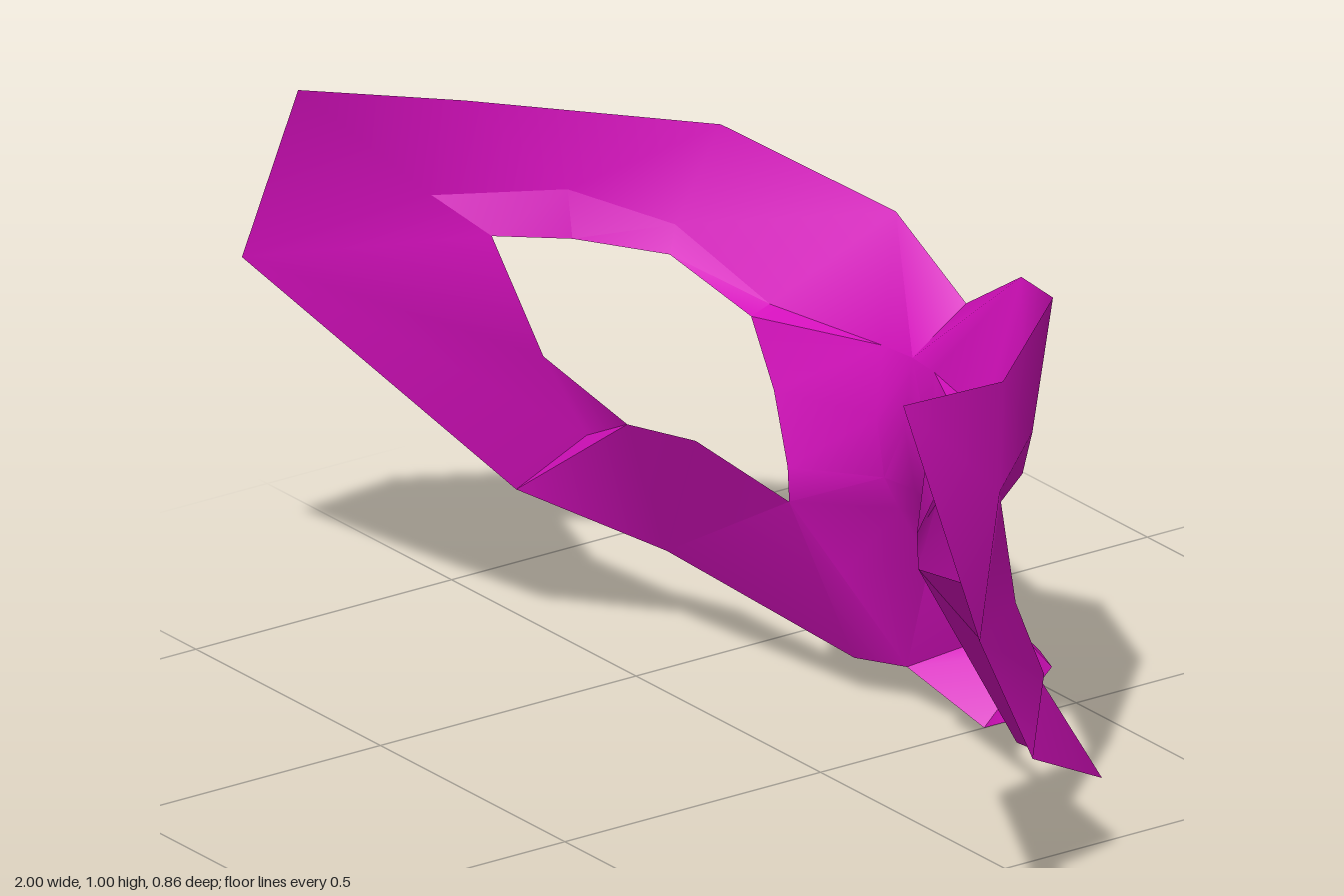
import * as THREE from 'three';
import { toCreasedNormals } from 'three/addons/utils/BufferGeometryUtils.js';

const magenta = new THREE.MeshStandardMaterial({ color: 0xd40fbc, side: THREE.DoubleSide });
magenta.name = 'magenta';

// Stitches pairs of equally long point rows (upper, lower) and mirrors them across x = 0.
function mirroredShell(name, strips, crease) {
  const out = [];
  const tri = (a, b, c) => {
    if (a === b || b === c || a === c) return;
    out.push(...a, ...b, ...c);
    for (const [x, y, z] of [a, c, b]) out.push(-x, y, z);
  };
  for (const [upper, lower] of strips) {
    for (let i = 0; i + 1 < upper.length; i++) {
      tri(upper[i], upper[i + 1], lower[i + 1]);
      tri(upper[i], lower[i + 1], lower[i]);
    }
  }
  const geometry = new THREE.BufferGeometry();
  geometry.setAttribute('position', new THREE.Float32BufferAttribute(out, 3));
  const mesh = new THREE.Mesh(toCreasedNormals(geometry, crease), magenta);
  mesh.name = name;
  return mesh;
}

export function createModel() {
  // Upper outline, from the centre to the temple
  const top = [[0, 0.735, -0.285], [0.17, 0.84, -0.27], [0.45, 0.93, -0.13],
    [0.73, 0.95, 0.17], [0.82, 1, 0.43], [1, 0.65, 0.41]];
  // Crease under the brow, from the bridge to the outer eye corner
  const crease = [[0, 0.667, -0.18], [0.07, 0.667, -0.172], [0.29, 0.68, -0.11],
    [0.47, 0.77, -0.055], [0.63, 0.8, 0.04], [0.77, 0.783, 0.205]];
  // Upper rim of the eye hole, from the bridge outwards
  const lid = [[0.285, 0.67, -0.07], [0.45, 0.731, -0.03], [0.61, 0.723, 0.045], [0.69, 0.725, 0.145]];
  // Lower rim of the eye hole, from the temple inwards
  const rim = [[0.64, 0.52, 0.08], [0.51, 0.43, 0.01], [0.38, 0.435, -0.03], [0.175, 0.39, -0.065]];
  // Lower outline, from the temple to the nostril
  const jaw = [[0.7, 0.275, 0.09], [0.59, 0.155, -0.125], [0.22, 0.07, -0.225], [0.14, 0.07, -0.27]];
  const cheekFold = [0.62, 0.375, 0.01];
  // Nose cross-sections: ridge, shoulder, side
  const nose = [
    [crease[0], crease[1], lid[0]],
    [[0, 0.55, -0.165], [0.07, 0.55, -0.16], [0.23, 0.56, -0.075]],
    [[0, 0.44, -0.185], [0.07, 0.44, -0.175], [0.175, 0.45, -0.062]],
    [[0, 0.38, -0.217], [0.07, 0.38, -0.205], rim[3]],
    [[0, 0.275, -0.275], [0.065, 0.275, -0.26], [0.159, 0.246, -0.157]],
    [[0, 0.105, -0.43], [0.08, 0.113, -0.395], jaw[3]],
  ];

  const brow = [
    [[top[0], top[1], top[1], top[1], top[2], top[3], top[4]],
      [crease[0], crease[0], crease[1], crease[2], crease[3], crease[4], crease[5]]],
  ];
  const temple = [
    [[top[4], top[5], top[5], top[5], jaw[0]], [crease[5], crease[5], lid[3], rim[0], cheekFold]],
    [[cheekFold, cheekFold], [rim[0], rim[1]]],
  ];
  const cheek = [
    [[jaw[0], jaw[1], jaw[1], jaw[2], jaw[3]], [cheekFold, rim[1], rim[2], rim[3], rim[3]]],
  ];
  const noseRows = nose.slice(1).map((row, i) => [nose[i], row]);

  const group = new THREE.Group();
  group.name = 'faceMask';
  group.add(
    mirroredShell('maskShell', [...brow, ...temple, ...cheek, ...noseRows], 0.75),
    // Narrow lid between the brow crease and the eye hole
    mirroredShell('eyeLid', [[crease.slice(1), [lid[0], ...lid]]], 0.6),
    // Underside of the nose
    mirroredShell('noseTip', [[[nose[5][0], nose[5][1]], [[0, 0, -0.32], jaw[3]]]], 0.5),
  );
  return group;
}
